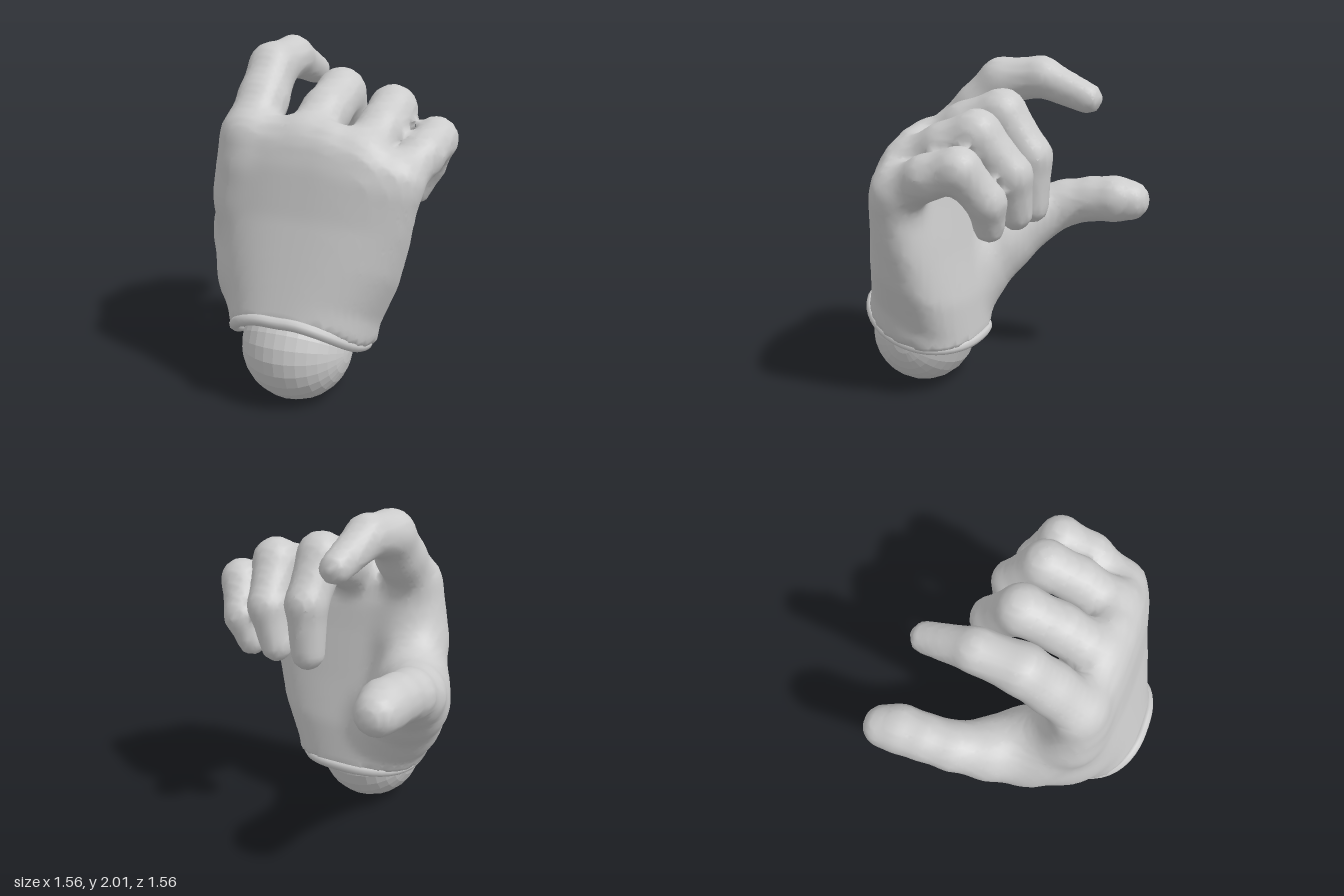
import * as THREE from 'three';

const material = new THREE.MeshStandardMaterial({ color: 0xcccccc });
const facetMaterial = new THREE.MeshStandardMaterial({ color: 0xcccccc, flatShading: true });

// Joints of each digit from root to tip: x, y, z, radius
const fingers = [
  // index
  [[-0.28, 1.25, 0.40, 0.13], [-0.295, 1.51, 0.38, 0.155], [-0.30, 1.685, 0.22, 0.145],
    [-0.31, 1.845, 0.07, 0.14], [-0.305, 1.88, -0.18, 0.12], [-0.29, 1.765, -0.475, 0.09]],
  // middle
  [[0.05, 1.33, 0.41, 0.12], [0.05, 1.50, 0.36, 0.145], [0.06, 1.62, 0.15, 0.14],
    [0.06, 1.70, -0.07, 0.14], [0.05, 1.46, -0.245, 0.122], [0.04, 1.17, -0.25, 0.1]],
  // ring
  [[0.36, 1.28, 0.40, 0.12], [0.37, 1.44, 0.35, 0.14], [0.395, 1.55, 0.14, 0.135],
    [0.39, 1.625, -0.05, 0.137], [0.33, 1.40, -0.23, 0.118], [0.27, 1.17, -0.235, 0.095]],
  // little
  [[0.48, 1.12, 0.38, 0.10], [0.565, 1.32, 0.33, 0.135], [0.635, 1.42, 0.14, 0.125],
    [0.65, 1.475, -0.05, 0.123], [0.56, 1.29, -0.175, 0.108], [0.50, 1.14, -0.165, 0.088]],
];
const thumb = [[-0.10, 0.50, 0.38, 0.16], [-0.27, 0.66, 0.29, 0.26], [-0.42, 0.84, 0.13, 0.24],
  [-0.55, 0.97, -0.06, 0.18], [-0.62, 1.05, -0.25, 0.145], [-0.637, 1.085, -0.42, 0.138],
  [-0.64, 1.095, -0.56, 0.142], [-0.655, 1.09, -0.655, 0.128]];
const thumbWeb = [[-0.50, 0.95, 0.0, 0.15], [-0.41, 1.0, 0.17, 0.18], [-0.33, 1.15, 0.33, 0.17], [-0.30, 1.34, 0.38, 0.14]];

// Palm outline by height: level, x left, x right, z back, z front
const palmLevels = [
  [0.30, -0.385, 0.44, 0.065, 0.76], [0.50, -0.40, 0.47, 0.075, 0.72], [0.75, -0.46, 0.58, 0.09, 0.67],
  [1.00, -0.49, 0.65, 0.14, 0.62], [1.30, -0.475, 0.70, 0.19, 0.585], [1.45, -0.46, 0.68, 0.21, 0.55],
  [1.57, -0.42, 0.58, 0.25, 0.48], [1.64, -0.25, 0.35, 0.32, 0.39]];

// Height of the cuff, rising steeply towards the back of the hand
const cuffHeight = z => 0.32 + 0.23 * THREE.MathUtils.clamp((z - 0.095) / 0.65, 0, 1) ** 2.8;

// Minimum of two distances with a fillet of width k
function blend(a, b, k) {
  const h = Math.max(k - Math.abs(a - b), 0) / k;
  return Math.min(a, b) - h * h * k / 4;
}

// Distance to a chain of tapered capsules
function chain(points, x, y, z) {
  let d = 9;
  for (let i = 0; i < points.length - 1; i++) {
    const [ax, ay, az, ar] = points[i], [bx, by, bz, br] = points[i + 1];
    const ux = bx - ax, uy = by - ay, uz = bz - az;
    const dot = (x - ax) * ux + (y - ay) * uy + (z - az) * uz;
    const t = THREE.MathUtils.clamp(dot / (ux * ux + uy * uy + uz * uz), 0, 1);
    const gap = Math.hypot(x - ax - ux * t, y - ay - uy * t, z - az - uz * t);
    d = blend(d, gap - ar - (br - ar) * t, 0.03);
  }
  return d;
}

// Distance to the palm, with levels slanting up to the front and down to the little finger
function palm(x, y, z) {
  const level = y - 0.5 * (z - 0.4) + (y > 1 ? 0.28 * Math.min(1, (y - 1) * 2.5) * Math.max(0, x - 0.2) : 0);
  let i = 0;
  while (i < palmLevels.length - 2 && level > palmLevels[i + 1][0]) i++;
  const a = palmLevels[i], b = palmLevels[i + 1];
  const t = THREE.MathUtils.clamp((level - a[0]) / (b[0] - a[0]), 0, 1);
  const [, xl, xr, zb, zf] = a.map((v, n) => v + (b[n] - v) * t);
  const hx = (xr - xl) / 2, hz = (zf - zb) / 2;
  const q = (Math.abs((x - xl - hx) / hx) ** 2.5 + Math.abs((z - zb - hz) / hz) ** 2.5) ** 0.4;
  return Math.max((q - 1) * Math.min(hx, hz), level - 1.63);
}

// The whole skin: digits flow into the palm, cut off at the cuff
function skin(x, y, z) {
  let d = palm(x, y, z);
  d = blend(d, blend(chain(thumb, x, y, z), chain(thumbWeb, x, y, z), 0.1), 0.12);
  d = blend(d, Math.min(...fingers.map(f => chain(f, x, y, z))), 0.06);
  return Math.max(d, cuffHeight(z) - y);
}

// Wrap a quad mesh around the region where field < 0
function wrap(field, min, max, step) {
  const size = min.map((m, d) => Math.ceil((max[d] - m) / step) + 1);
  const stride = [1, size[0], size[0] * size[1]];
  const total = stride[2] * size[2];
  const values = new Float32Array(total), cell = new Int32Array(total);
  const coords = n => [n % size[0], Math.floor(n / stride[1]) % size[1], Math.floor(n / stride[2])];
  for (let n = 0; n < total; n++) values[n] = field(...coords(n).map((c, d) => min[d] + c * step));

  // One vertex per crossed cell, at the mean of its edge crossings
  const pos = [], idx = [];
  const corner = c => (c & 1) * stride[0] + (c >> 1 & 1) * stride[1] + (c >> 2) * stride[2];
  for (let n = 0; n < total; n++) {
    const at = coords(n);
    if (at.some((c, d) => c >= size[d] - 1)) continue;
    const sum = [0, 0, 0];
    let count = 0;
    for (let c = 0; c < 8; c++) for (let d = 0; d < 3; d++) {
      if (c >> d & 1) continue;
      const a = values[n + corner(c)], b = values[n + corner(c | 1 << d)];
      if (a < 0 === b < 0) continue;
      for (let e = 0; e < 3; e++) sum[e] += e === d ? a / (a - b) : c >> e & 1;
      count++;
    }
    if (!count) continue;
    cell[n] = pos.length / 3;
    pos.push(...sum.map((s, d) => min[d] + (at[d] + s / count) * step));
  }
  // One quad per crossed grid edge
  for (let n = 0; n < total; n++) {
    const at = coords(n);
    if (at.some((c, d) => c < 1 || c >= size[d] - 1)) continue;
    for (let d = 0; d < 3; d++) {
      const inside = values[n] < 0;
      if (inside === values[n + stride[d]] < 0) continue;
      const u = stride[(d + 1) % 3], w = stride[(d + 2) % 3];
      const q = [n, n - u, n - u - w, n - w].map(c => cell[c]);
      if (!inside) q.reverse();
      idx.push(q[0], q[1], q[2], q[0], q[2], q[3]);
    }
  }
  const geo = new THREE.BufferGeometry();
  geo.setAttribute('position', new THREE.Float32BufferAttribute(pos, 3));
  geo.setIndex(idx);
  geo.computeVertexNormals();
  return geo;
}

export function createModel() {
  const hand = new THREE.Group();
  hand.name = 'hand';
  const add = (name, geometry, mat) => {
    const mesh = new THREE.Mesh(geometry, mat);
    mesh.name = name;
    hand.add(mesh);
    return mesh;
  };

  // Palm, thumb and four fingers as one skin
  add('palmAndFingers', wrap(skin, [-0.9, 0.2, -0.9], [0.9, 2.1, 0.9], 0.034), material);

  // Rolled rim of the cuff
  const rim = Array.from({ length: 32 }, (_, i) => {
    const a = i / 32 * Math.PI * 2, c = Math.cos(a), s = Math.sin(a);
    const z = 0.42 + 0.33 * Math.sign(s) * Math.abs(s) ** 0.8;
    return new THREE.Vector3(0.027 + 0.375 * Math.sign(c) * Math.abs(c) ** 0.8, cuffHeight(z), z);
  });
  add('cuffRim', new THREE.TubeGeometry(new THREE.CatmullRomCurve3(rim, true), 48, 0.033, 8, true), material);

  // Wrist ball
  const ball = add('wristBall', new THREE.SphereGeometry(0.32, 24, 16), facetMaterial);
  ball.rotation.z = Math.PI / 2;
  ball.position.set(0.02, 0.32, 0.46);

  return hand;
}
